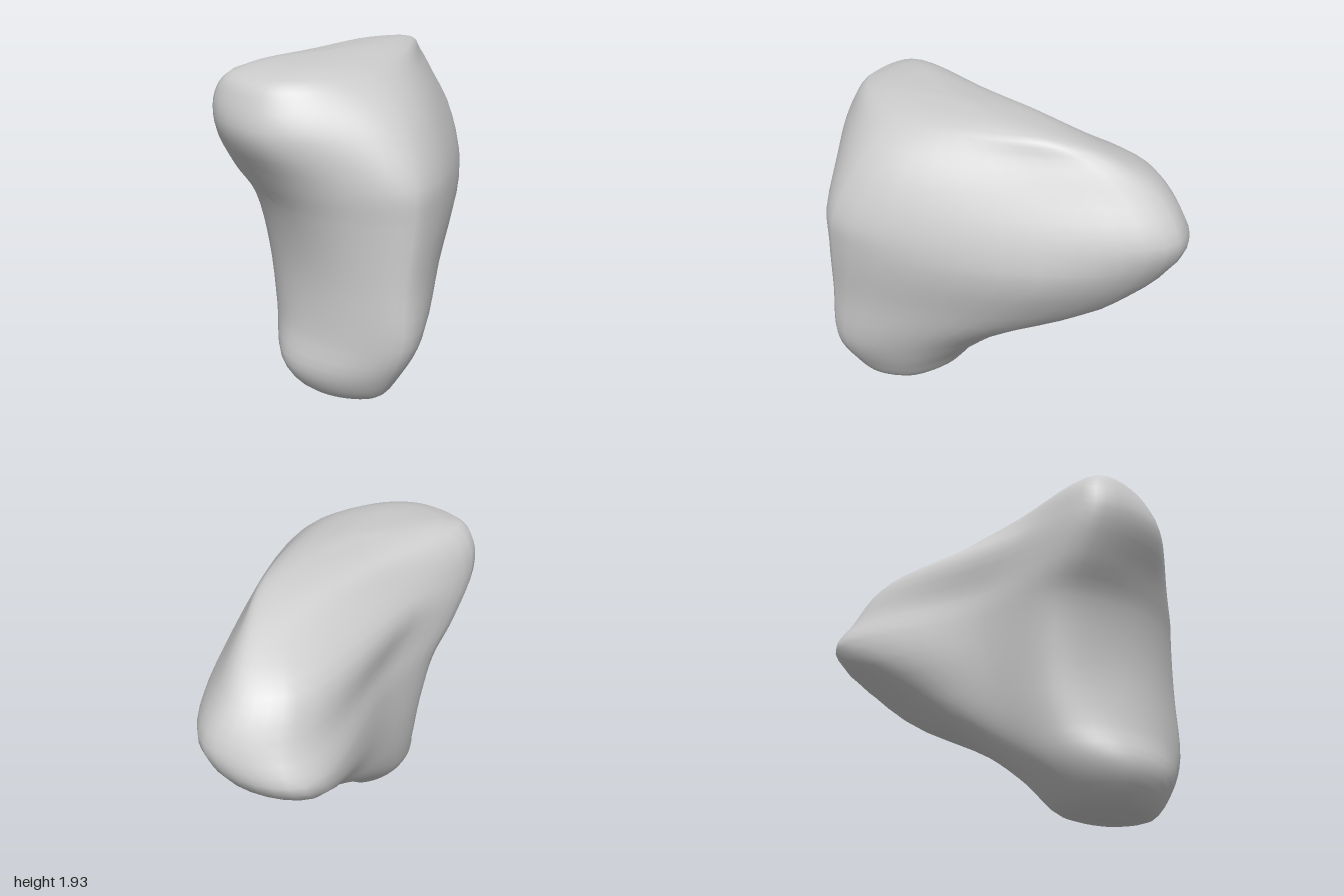
import * as THREE from 'three';
import { mergeVertices } from 'three/addons/utils/BufferGeometryUtils.js';

// One outline at height y: x,z pairs for right, front, front-left,
// left hollow, left tip, back tip and back-right
function outline(y, ...xz) {
  const points = [];
  for (let i = 0; i < xz.length; i += 2) points.push(new THREE.Vector3(xz[i], y, xz[i + 1]));
  // rounded shoulder between right and front
  const shoulder = points[0].clone().lerp(points[1], 0.5).add(new THREE.Vector3(0.07, 0, 0.07));
  points.splice(1, 0, shoulder);
  return points;
}

// Outlines from the foot up; the lowest is the foot drawn in toward its centre
function createOutlines() {
  const foot = outline(0.22, 0.79, 0.4, 0.27, 0.75, 0.04, 0.62, -0.08, 0.42, -0.06, 0.21, 0.15, 0.08, 0.56, 0.12);
  const sole = foot.map((p) => p.clone().lerp(new THREE.Vector3(0.4, -0.26, 0.42), 0.36));
  return [
    sole,
    foot,
    outline(0.45, 0.9, 0.38, 0.26, 0.7, -0.06, 0.58, -0.22, 0.34, -0.27, 0.07, -0.04, -0.14, 0.53, -0.03),
    outline(0.8, 0.9, 0.36, 0.3, 0.68, -0.11, 0.59, -0.34, 0.23, -0.57, -0.26, -0.38, -0.65, 0.33, -0.36),
    outline(1.15, 0.91, 0.31, 0.36, 0.74, -0.12, 0.67, -0.39, 0.16, -0.9, -0.6, -0.53, -0.93, 0.16, -0.64),
    outline(1.35, 0.9, 0.29, 0.36, 0.83, -0.1, 0.81, -0.35, 0.2, -0.8, -0.61, -0.52, -0.99, 0.14, -0.62),
    outline(1.6, 0.77, 0.25, 0.36, 0.95, -0.06, 0.94, -0.27, 0.4, -0.66, -0.53, -0.47, -0.83, 0.14, -0.47),
    outline(1.77, 0.62, 0.25, 0.34, 0.91, -0.04, 0.94, -0.2, 0.32, -0.39, -0.42, -0.3, -0.64, 0.14, -0.34),
    outline(1.88, 0.45, 0.28, 0.32, 0.82, 0.02, 0.88, -0.11, 0.3, -0.17, -0.2, -0.07, -0.4, 0.17, -0.21),
  ];
}

// Smooth closed skin: curves run pole to pole, then each ring is rounded
function createSkin(rows, cols) {
  const bottom = new THREE.Vector3(0.36, 0, 0.42);
  const top = new THREE.Vector3(0.14, 1.93, 0.2);
  const outlines = createOutlines();
  const meridians = outlines[0].map((_, i) =>
    new THREE.CatmullRomCurve3([bottom, ...outlines.map((o) => o[i]), top]));

  const positions = [];
  const indices = [];
  for (let r = 0; r <= rows; r++) {
    const ring = new THREE.CatmullRomCurve3(meridians.map((m) => m.getPoint(r / rows)), true);
    for (let c = 0; c < cols; c++) {
      const p = r === 0 ? bottom : r === rows ? top : ring.getPoint(c / cols);
      positions.push(p.x, p.y, p.z);
    }
  }
  for (let r = 0; r < rows; r++) {
    for (let c = 0; c < cols; c++) {
      const a = r * cols + c;
      const b = r * cols + ((c + 1) % cols);
      if (r < rows - 1) indices.push(a, a + cols, b + cols);
      if (r > 0) indices.push(a, b + cols, b);
    }
  }

  const geometry = new THREE.BufferGeometry();
  geometry.setAttribute('position', new THREE.Float32BufferAttribute(positions, 3));
  geometry.setIndex(indices);
  const merged = mergeVertices(geometry, 1e-5);
  merged.computeVertexNormals();
  return merged;
}

export function createModel() {
  const group = new THREE.Group();
  group.name = 'rock';
  const material = new THREE.MeshStandardMaterial({ color: 0xcccccc });
  const body = new THREE.Mesh(createSkin(40, 48), material);
  body.name = 'rockBody';
  group.add(body);
  return group;
}
